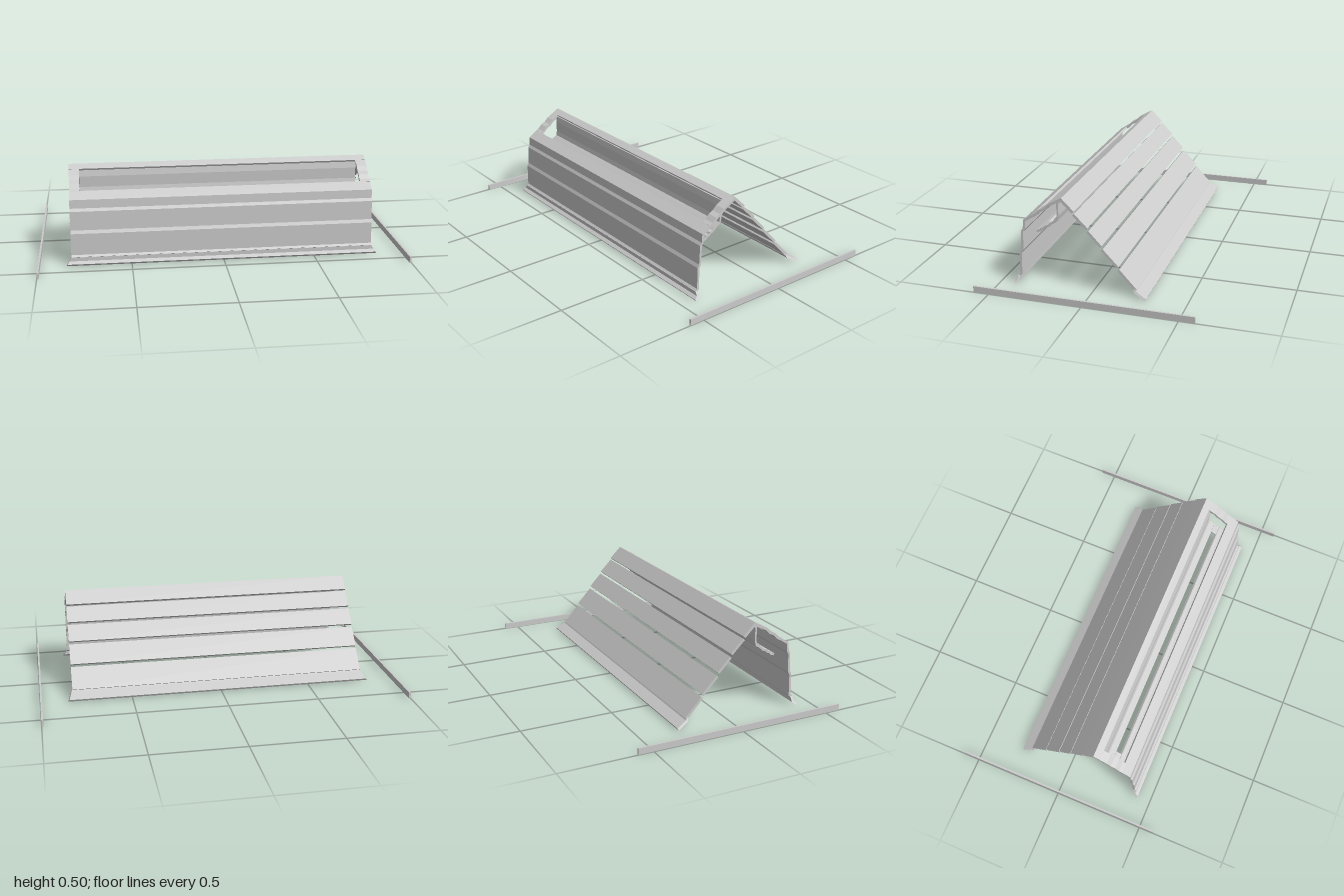
import * as THREE from 'three';

const material = new THREE.MeshStandardMaterial({ color: 0xcccccc, flatShading: true, side: THREE.DoubleSide });

// Thin bent sheet: a [z, y] polyline thickened about its centre and run along x.
function sheet(name, points, x0, x1, thickness = 0.012) {
  const p = points.map(([z, y]) => new THREE.Vector2(-z, y));
  const sides = [[], []];
  p.forEach((point, i) => {
    const before = p[Math.max(i - 1, 0)], after = p[Math.min(i + 1, p.length - 1)];
    const d1 = (i ? point.clone().sub(before) : after.clone().sub(point)).normalize();
    const d2 = (i < p.length - 1 ? after.clone().sub(point) : point.clone().sub(before)).normalize();
    const n = new THREE.Vector2(-d1.y - d2.y, d1.x + d2.x).normalize();
    const miter = thickness / 2 / Math.max(0.6, n.x * -d1.y + n.y * d1.x);
    sides[0].push(point.clone().addScaledVector(n, miter));
    sides[1].push(point.clone().addScaledVector(n, -miter));
  });
  const shape = new THREE.Shape([...sides[0], ...sides[1].reverse()]);
  const geometry = new THREE.ExtrudeGeometry(shape, { depth: x1 - x0, bevelEnabled: false });
  geometry.translate(0, 0, x0).rotateY(Math.PI / 2);
  const mesh = new THREE.Mesh(geometry, material);
  mesh.name = name;
  return mesh;
}

// Widens the ends of a sheet toward the ground, for the flared feet.
function flare(mesh, top, amount) {
  const pos = mesh.geometry.attributes.position;
  for (let i = 0; i < pos.count; i++) {
    const t = THREE.MathUtils.clamp((top - pos.getY(i)) / top, 0, 1);
    pos.setX(i, pos.getX(i) + Math.sign(pos.getX(i)) * amount * t);
  }
  mesh.geometry.computeVertexNormals();
  return mesh;
}

export function createModel() {
  const model = new THREE.Group();
  model.name = 'ridgedShelter';
  const W = 0.823, O = 0.768;

  // Stepped front wall and its foot
  model.add(sheet('frontWall', [
    [0.402, 0.045], [0.391, 0.056], [0.389, 0.175], [0.38, 0.192],
    [0.376, 0.295], [0.366, 0.31], [0.363, 0.355], [0.314, 0.388],
  ], -W, W));
  model.add(flare(sheet('frontFoot', [[0.402, 0.048], [0.402, 0.024], [0.422, 0.01]], -W, W), 0.048, 0.03));

  // Ridge cap, joining the first back slat to the top of the opening
  model.add(sheet('ridgeCap', [[0.192, 0.474], [0.16, 0.491], [0.098, 0.43]], -W, W, 0.016));

  // Stepped roof ends either side of the opening
  for (const s of [-1, 1]) {
    model.add(sheet('openingEnd', [
      [0.32, 0.384], [0.3, 0.395], [0.278, 0.418], [0.253, 0.43], [0.23, 0.453], [0.19, 0.475],
    ], s < 0 ? -W : O, s < 0 ? -O : W, 0.014));
  }

  // Separate slats of the back slope
  const slats = [
    [[0.096, 0.419], [0.026, 0.349]],
    [[0.022, 0.335], [-0.048, 0.261]],
    [[-0.053, 0.245], [-0.136, 0.158]],
    [[-0.14, 0.144], [-0.231, 0.046]],
  ];
  for (const line of slats) model.add(sheet('backSlat', line, -W, W, 0.014));
  model.add(flare(sheet('backFoot', [[-0.222, 0.052], [-0.232, 0.036], [-0.288, 0.008]], -W, W), 0.05, 0.028));

  // Recess behind the opening: back panel and a slotted, ribbed shelf
  model.add(sheet('recessBack', [
    [0.196, 0.472], [0.202, 0.44], [0.201, 0.38], [0.207, 0.352], [0.224, 0.34], [0.24, 0.328],
  ], -O, O, 0.01));
  model.add(sheet('shelf', [
    [0.27, 0.312], [0.277, 0.302], [0.29, 0.298], [0.298, 0.288], [0.318, 0.281],
  ], -O, O));
  for (const s of [-1, 1]) {
    model.add(sheet('shelfEnd', [[0.238, 0.33], [0.252, 0.317], [0.272, 0.311]],
      s < 0 ? -O : 0.715, s < 0 ? -0.715 : O));
  }

  // Ground rails standing clear of both ends
  for (const s of [-1, 1]) {
    const rail = new THREE.Mesh(new THREE.BoxGeometry(0.01, 0.034, 1.165), material);
    rail.position.set(s * 0.995, 0.02, 0);
    rail.name = 'groundRail';
    model.add(rail);
  }
  return model;
}
